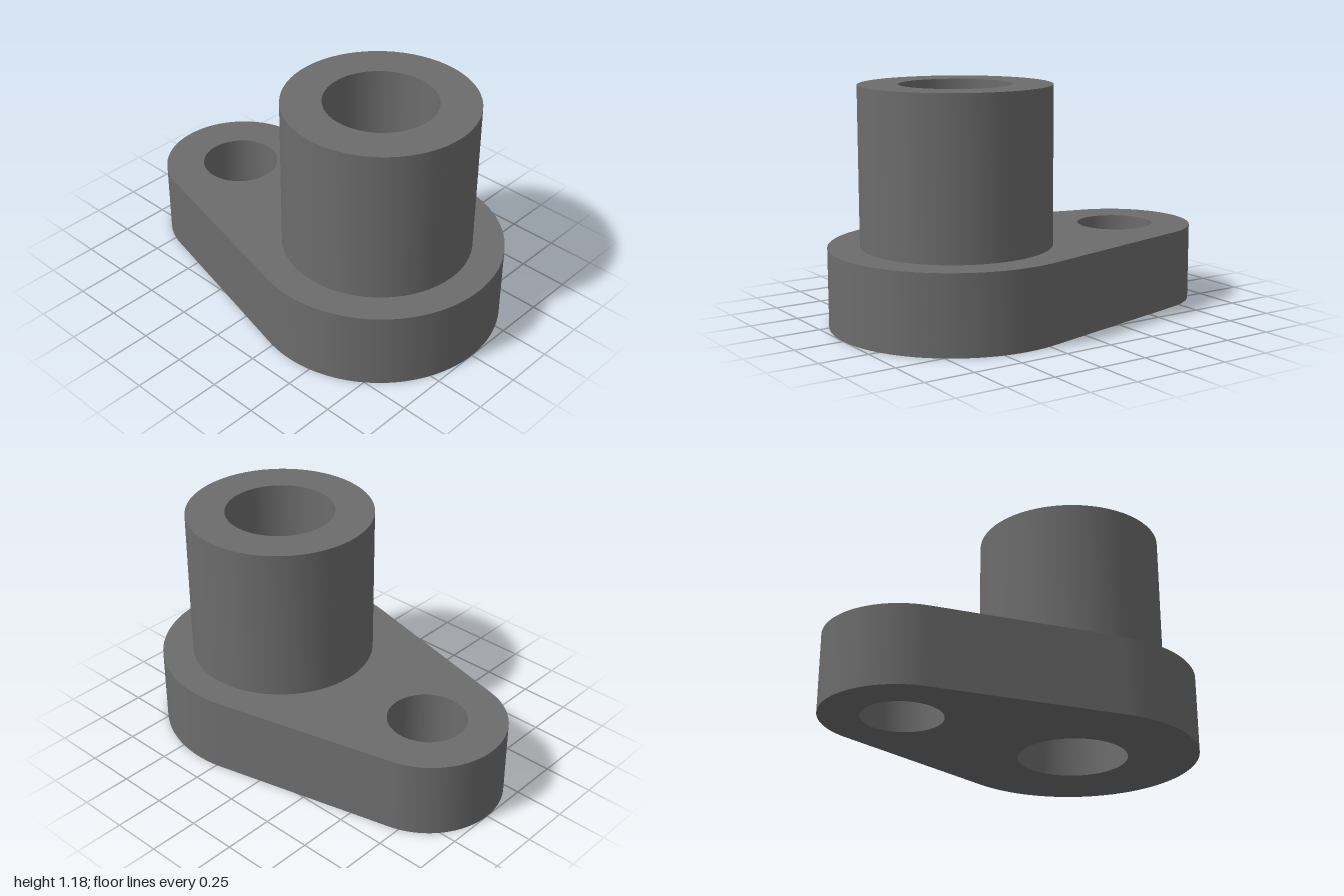
import * as THREE from 'three';
import { toCreasedNormals } from 'three/addons/utils/BufferGeometryUtils.js';

// Proportions in whole units; the flange is 51 units long
const U = 2 / 51;
const BIG_R = 16 * U, SMALL_R = 10 * U, SPAN = 25 * U;
const BORE_R = 7 * U, BOLT_R = 5 * U, BOSS_R = 12 * U;
const BASE_H = 10 * U, TOTAL_H = 30 * U;
const BIG_X = 1 - BIG_R, SMALL_X = BIG_X - SPAN;
const SEGMENTS = 64;

function makeMesh(name, geometry) {
  const material = new THREE.MeshStandardMaterial({ color: 0x6c6c6c });
  const mesh = new THREE.Mesh(toCreasedNormals(geometry, 0.5), material);
  mesh.name = name;
  return mesh;
}

function circleHole(x, radius) {
  return new THREE.Path().absarc(x, 0, radius, 0, Math.PI * 2, true);
}

export function createModel() {
  const group = new THREE.Group();
  group.name = 'flangedBushing';

  // Flange: two round ends joined by their common tangents, with both holes
  const tangent = Math.acos((SMALL_R - BIG_R) / SPAN);
  const outline = new THREE.Shape();
  outline.absarc(BIG_X, 0, BIG_R, -tangent, tangent, false);
  outline.absarc(SMALL_X, 0, SMALL_R, tangent, Math.PI * 2 - tangent, false);
  outline.closePath();
  outline.holes.push(circleHole(BIG_X, BORE_R), circleHole(SMALL_X, BOLT_R));
  const flange = new THREE.ExtrudeGeometry(outline, {
    depth: BASE_H, bevelEnabled: false, curveSegments: SEGMENTS,
  });
  flange.rotateX(-Math.PI / 2);
  group.add(makeMesh('flange', flange));

  // Boss: outer wall, top rim and bore, continuing the hole in the flange
  const profile = [
    [BOSS_R, BASE_H], [BOSS_R, TOTAL_H], [BORE_R, TOTAL_H], [BORE_R, BASE_H],
  ].map(([r, y]) => new THREE.Vector2(r, y));
  const boss = makeMesh('boss', new THREE.LatheGeometry(profile, SEGMENTS));
  boss.position.x = BIG_X;
  group.add(boss);

  return group;
}
